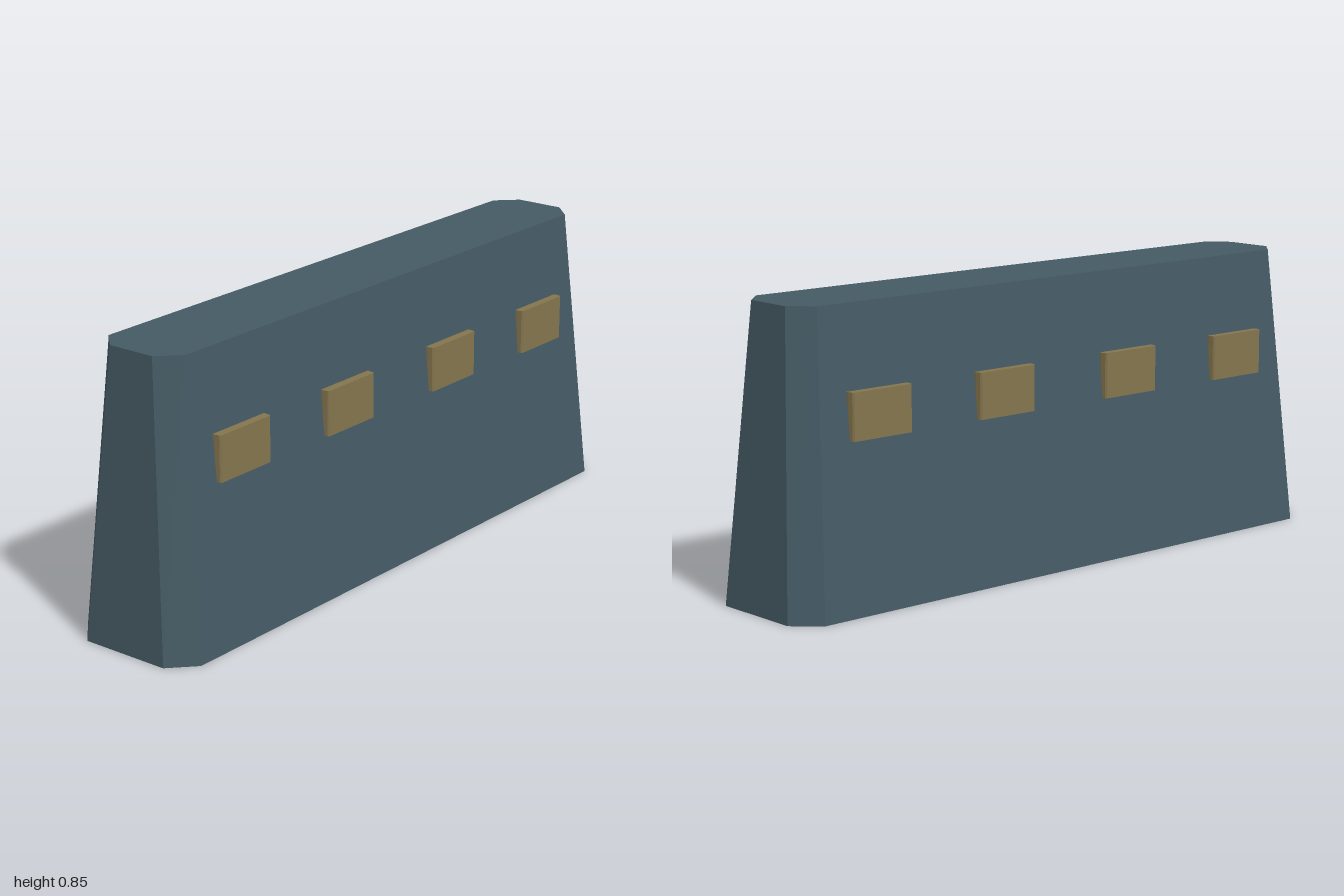
import * as THREE from 'three';
import { ConvexGeometry } from 'three/addons/geometries/ConvexGeometry.js';

// Eight corners of a chamfered rectangle at height y
function ring(y, x, z, faceX, endZ) {
  const points = [];
  for (const sx of [-1, 1]) {
    for (const sz of [-1, 1]) {
      points.push(new THREE.Vector3(sx * faceX, y, sz * z));
      points.push(new THREE.Vector3(sx * x, y, sz * endZ));
    }
  }
  return points;
}

export function createModel() {
  const model = new THREE.Group();
  model.name = 'barrierWall';

  const wallPaint = new THREE.MeshStandardMaterial({ color: 0x455a64 });
  wallPaint.name = 'blueGrey';
  const platePaint = new THREE.MeshStandardMaterial({ color: 0x85754e });
  platePaint.name = 'dullBrass';

  // Tapered wall with chamfered vertical corners
  const wall = new THREE.Mesh(
    new ConvexGeometry([
      ...ring(0, 1, 0.21, 0.926, 0.14),
      ...ring(0.85, 0.94, 0.136, 0.88, 0.075),
    ]),
    wallPaint
  );
  wall.name = 'wall';
  model.add(wall);

  // Plate plan, softened at the outer corners, extruded upward
  const plan = new THREE.Shape([
    [-0.105, -0.145], [0.105, -0.145], [0.105, -0.163], [0.103, -0.178], [0.099, -0.183],
    [-0.099, -0.183], [-0.103, -0.178], [-0.105, -0.163],
  ].map(([x, y]) => new THREE.Vector2(x, y)));
  const plateGeometry = new THREE.ExtrudeGeometry(plan, { depth: 0.134, bevelEnabled: false });
  plateGeometry.rotateX(-Math.PI / 2);

  // Four plates on the front and four on the back
  for (const side of ['front', 'back']) {
    const row = new THREE.Group();
    row.name = side + 'Plates';
    row.rotation.y = side === 'front' ? 0 : Math.PI;
    for (const x of [-0.697, -0.243, 0.243, 0.697]) {
      const plate = new THREE.Mesh(plateGeometry, platePaint);
      plate.name = 'plate';
      plate.position.set(x, 0.48, 0);
      row.add(plate);
    }
    model.add(row);
  }
  return model;
}
